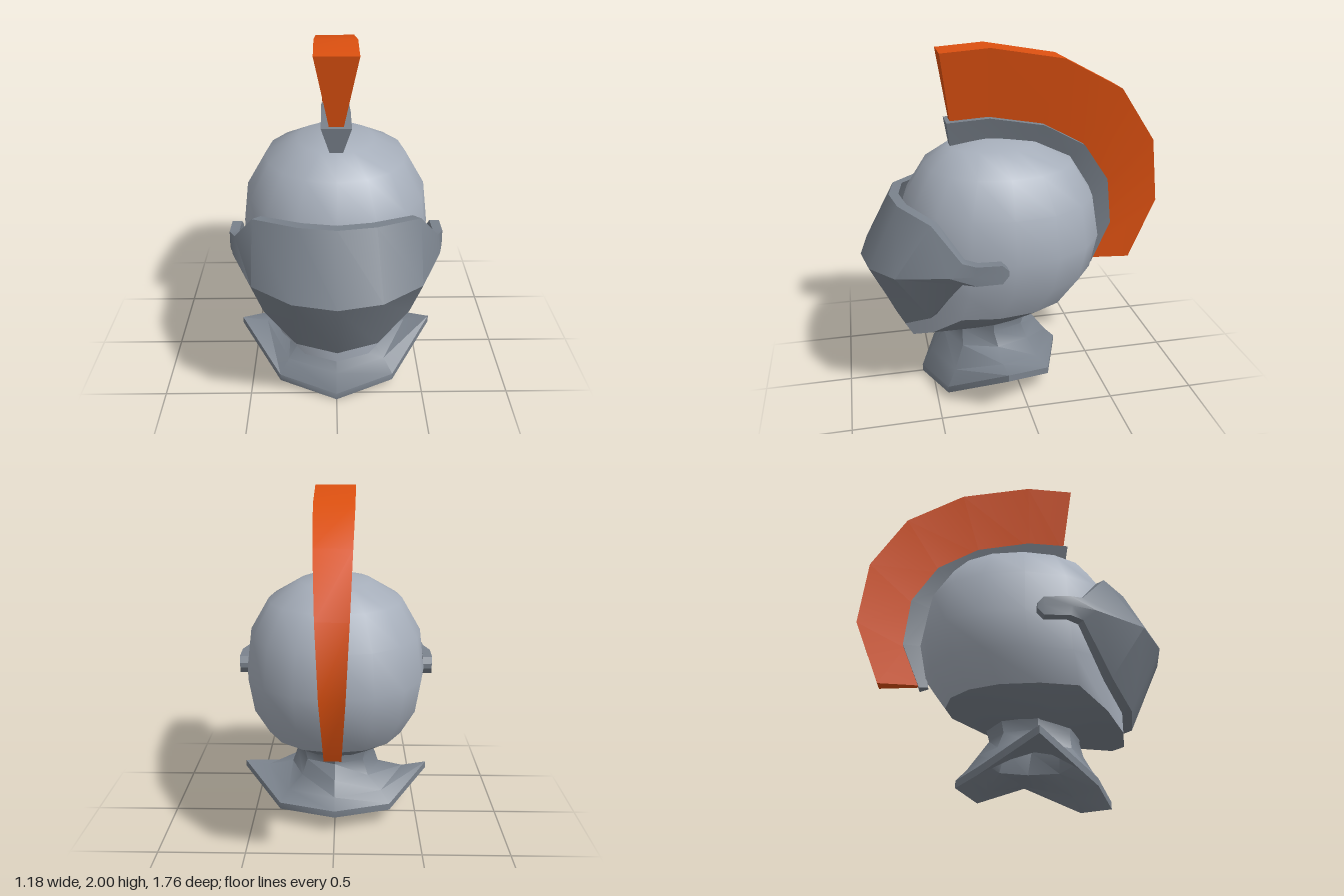
import * as THREE from 'three';
import { mergeVertices, toCreasedNormals } from 'three/addons/utils/BufferGeometryUtils.js';

const steel = new THREE.MeshStandardMaterial({ color: 0xa6aeba });
steel.name = 'light steel';
const iron = new THREE.MeshStandardMaterial({ color: 0x7a828c });
iron.name = 'dark iron';
const orange = new THREE.MeshStandardMaterial({ color: 0xdc5010 });
orange.name = 'orange plume';

// Skin closed cross-sections; ends are 'cap', 'open' or 'loop'. Faces are turned outwards.
function loft(name, rings, material, ends, crease) {
  const n = rings[0].length;
  const pts = rings.flat();
  const index = [];
  const last = ends === 'loop' ? rings.length : rings.length - 1;
  for (let r = 0; r < last; r++) {
    const a = r * n, b = ((r + 1) % rings.length) * n;
    for (let i = 0; i < n; i++) {
      const j = (i + 1) % n;
      index.push(a + i, a + j, b + j, a + i, b + j, b + i);
    }
  }
  if (ends === 'cap') {
    for (const r of [0, rings.length - 1]) {
      const c = pts.length;
      pts.push([0, 1, 2].map((k) => rings[r].reduce((s, p) => s + p[k], 0) / n));
      for (let i = 0; i < n; i++) {
        const a = r * n + i, b = r * n + (i + 1) % n;
        if (r === 0) index.push(c, b, a);
        else index.push(c, a, b);
      }
    }
  }
  // Signed volume about the centroid decides the winding
  const v = pts.map((p) => new THREE.Vector3(...p));
  const mid = v.reduce((s, p) => s.add(p), new THREE.Vector3()).divideScalar(v.length);
  const rel = v.map((p) => p.clone().sub(mid));
  let volume = 0;
  for (let i = 0; i < index.length; i += 3) {
    volume += rel[index[i]].dot(rel[index[i + 1]].clone().cross(rel[index[i + 2]]));
  }
  if (volume < 0) index.reverse();
  let geo = new THREE.BufferGeometry().setFromPoints(v);
  geo.setIndex(index);
  if (crease) {
    geo = toCreasedNormals(geo, crease);
  } else {
    geo = mergeVertices(geo, 1e-4);
    geo.computeVertexNormals();
  }
  const mesh = new THREE.Mesh(geo, material);
  mesh.name = name;
  return mesh;
}

// Slightly squared oval ring around the vertical axis
function oval(hx, back, front, height, sides = 16) {
  const soft = (t) => Math.sign(t) * Math.abs(t) ** 0.92;
  return Array.from({ length: sides }, (_, i) => {
    const a = (i / sides) * Math.PI * 2;
    const z = (front + back) / 2 + ((front - back) / 2) * soft(Math.cos(a));
    return [hx * soft(Math.sin(a)), typeof height === 'function' ? height(z) : height, z];
  });
}

// Bowl of the helmet with the jaw edge dipping to the chin
function makeSkull() {
  const jaw = (z) => 0.35 + 0.21 * Math.min(1, Math.max(0, (0.65 - z) / 0.28));
  const neckline = (z) => 0.43 - 0.045 * Math.max(0, (z - 0.1) / 0.3);
  const edge = oval(0.42, -0.35, 0.65, jaw);
  const bowl = loft('skull', [
    oval(0, 0.13, 0.13, 1.5),
    oval(0.21, -0.14, 0.36, 1.46),
    oval(0.39, -0.35, 0.5, 1.36),
    oval(0.5, -0.47, 0.62, 1.17),
    oval(0.53, -0.51, 0.65, 0.93),
    oval(0.5, -0.47, 0.65, 0.73),
    edge,
  ], steel, 'open');
  const under = loft('skullUnderside', [
    edge, oval(0.25, -0.11, 0.4, neckline), oval(0, 0.15, 0.15, 0.44),
  ], iron, 'open');
  return [bowl, under];
}

// Mirror half a ring (front, front corner, side, back corner, back) to a full one
function mirrorRing(half) {
  return [...half, ...half.slice(1, -1).reverse().map(([x, y, z]) => [-x, y, z])];
}

// Neck flaring into a pointed eight-sided collar with a thick rim
function makeCollar() {
  const neck = (r, y) => [0, 1, 2, 3, 4].map((i) => {
    const a = (i * Math.PI) / 4;
    return [i === 4 ? 0 : r * Math.sin(a), y, 0.15 + (r + 0.01) * Math.cos(a)];
  });
  const base = [[0, 0.29, 0.42], [0.2, 0.28, 0.33], [0.27, 0.285, 0.13], [0.2, 0.28, -0.06], [0, 0.29, -0.16]];
  const flare = [[0, 0.15, 0.5], [0.28, 0.17, 0.39], [0.42, 0.26, 0.13], [0.28, 0.2, -0.1], [0, 0.21, -0.22]];
  const rim = [[0, 0.045, 0.56], [0.33, 0.09, 0.44], [0.57, 0.285, 0.13], [0.33, 0.14, -0.16], [0, 0.15, -0.28]];
  const lower = (ring) => ring.map(([x, y, z]) => [x, y - 0.04, z]);
  const inner = base.map(([x, y, z]) => [x * 0.88, y - 0.04, 0.13 + (z - 0.13) * 0.88]);
  return loft('collar', [
    neck(0.26, 0.45), neck(0.24, 0.37), base, flare, rim,
    lower(rim), lower(flare), inner, neck(0.21, 0.37), neck(0.21, 0.45),
  ].map(mirrorRing), iron, 'loop', 0.7);
}

// Visor: each column lists top, ridge and bottom points, from the nose to the pivot
function makeVisor() {
  const columns = [
    [[0, 1.19, 0.7], [0, 0.84, 0.88], [0, 0.445, 0.7]],
    [[0.2, 1.19, 0.665], [0.23, 0.85, 0.84], [0.22, 0.48, 0.66]],
    [[0.44, 1.16, 0.51], [0.44, 0.875, 0.71], [0.4, 0.6, 0.53]],
    [[0.555, 0.985, 0.37], [0.56, 0.91, 0.44], [0.545, 0.86, 0.37]],
    [[0.59, 0.975, 0.3], [0.59, 0.92, 0.31], [0.59, 0.865, 0.3]],
    [[0.59, 0.97, 0.165], [0.59, 0.92, 0.165], [0.59, 0.865, 0.165]],
    [[0.585, 0.935, 0.13], [0.585, 0.92, 0.13], [0.585, 0.905, 0.13]],
  ];
  const thick = 0.055;
  const section = (col) => {
    const inside = col.map(([x, y, z]) => {
      const d = Math.hypot(x, Math.max(0, z - 0.15));
      return [x - (x / d) * thick, y, z - (Math.max(0, z - 0.15) / d) * thick];
    });
    return [...col, ...inside.reverse()];
  };
  const half = columns.map(section);
  const other = half.slice(1).reverse().map((s) => s.map(([x, y, z]) => [-x, y, z]));
  return loft('visor', [...other, ...half], iron, 'cap', 0.68);
}

// Curved wedge along the centre line: [z, y, half width] for its outer and inner edges
function makeWedge(name, outer, inner, material) {
  const rings = outer.map(([z, y, w], i) => {
    const [zi, yi, wi] = inner[i];
    return [[-w, y, z], [w, y, z], [wi, yi, zi], [-wi, yi, zi]];
  });
  return loft(name, rings, material, 'cap', 0.6);
}

export function createModel() {
  const model = new THREE.Group();
  model.name = 'helmet';
  model.add(...makeSkull(), makeCollar(), makeVisor());

  // Crest holder on the skull
  const holder = [
    [0.37, 1.6, 0.08], [0.13, 1.615, 0.08], [-0.18, 1.56, 0.08], [-0.42, 1.43, 0.075],
    [-0.57, 1.21, 0.065], [-0.605, 0.93, 0.05], [-0.5, 0.67, 0.035],
  ];
  model.add(makeWedge('crestHolder', holder, [
    [0.35, 1.46, 0.035], [0.13, 1.48, 0.035], [-0.14, 1.44, 0.035], [-0.34, 1.34, 0.033],
    [-0.45, 1.17, 0.03], [-0.49, 0.93, 0.025], [-0.45, 0.68, 0.018],
  ], iron));

  // Plume fanning out of the holder
  model.add(makeWedge('plume', [
    [0.4, 1.98, 0.115], [0.13, 2, 0.115], [-0.28, 1.93, 0.11], [-0.62, 1.75, 0.098],
    [-0.83, 1.44, 0.083], [-0.88, 1.06, 0.065], [-0.735, 0.69, 0.045],
  ], holder.map(([z, y, w], i) => [
    i === 0 ? 0.345 : z + 0.01, i === 6 ? 0.69 : y - 0.01, w * 0.45,
  ]), orange));
  return model;
}
